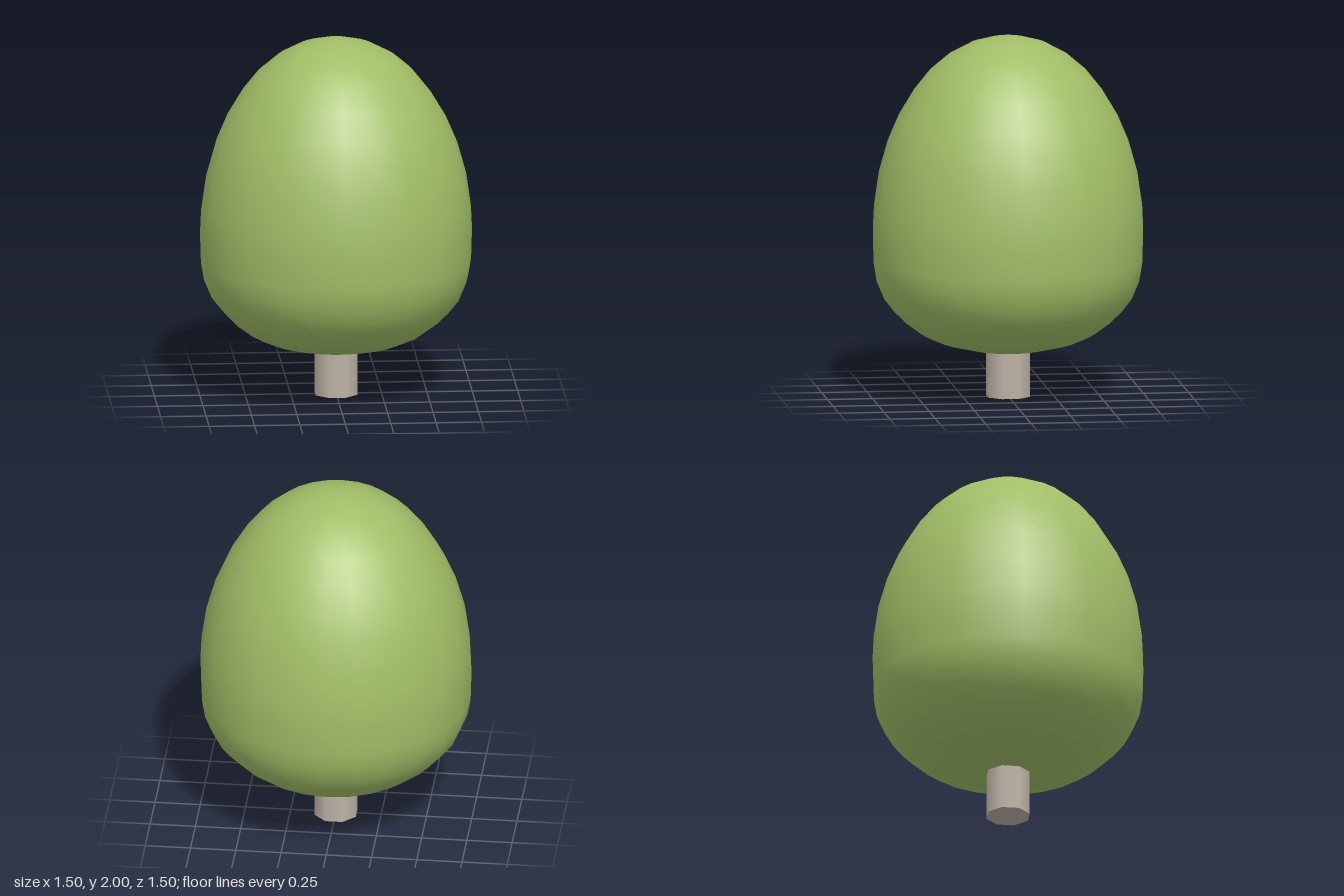
import * as THREE from 'three';

export function createModel() {
  const tree = new THREE.Group();
  tree.name = 'tree';

  // Egg-shaped crown, turned from a bottom-to-top profile of [radius, height]
  const profile = [
    [0, 0.25], [0.1, 0.251], [0.21, 0.265], [0.375, 0.305], [0.48, 0.352],
    [0.565, 0.415], [0.63, 0.48], [0.685, 0.55], [0.727, 0.65], [0.744, 0.75],
    [0.749, 0.92], [0.743, 1.05], [0.716, 1.236], [0.667, 1.41], [0.605, 1.555],
    [0.52, 1.697], [0.43, 1.81], [0.324, 1.9], [0.205, 1.963], [0.09, 1.994], [0, 2],
  ].map(([r, y]) => new THREE.Vector2(r, y));
  const crown = new THREE.Mesh(
    new THREE.LatheGeometry(profile, 24),
    new THREE.MeshStandardMaterial({ color: 0xa0bd66 }),
  );
  crown.name = 'crown';
  tree.add(crown);

  // Short eight-sided trunk, its flat sides facing the axes
  const trunkHeight = 0.3;
  const trunk = new THREE.Mesh(
    new THREE.CylinderGeometry(0.124, 0.124, trunkHeight, 8),
    new THREE.MeshStandardMaterial({ color: 0xbdb2a6 }),
  );
  trunk.name = 'trunk';
  trunk.position.y = trunkHeight / 2;
  trunk.rotation.y = Math.PI / 8;
  tree.add(trunk);

  return tree;
}
